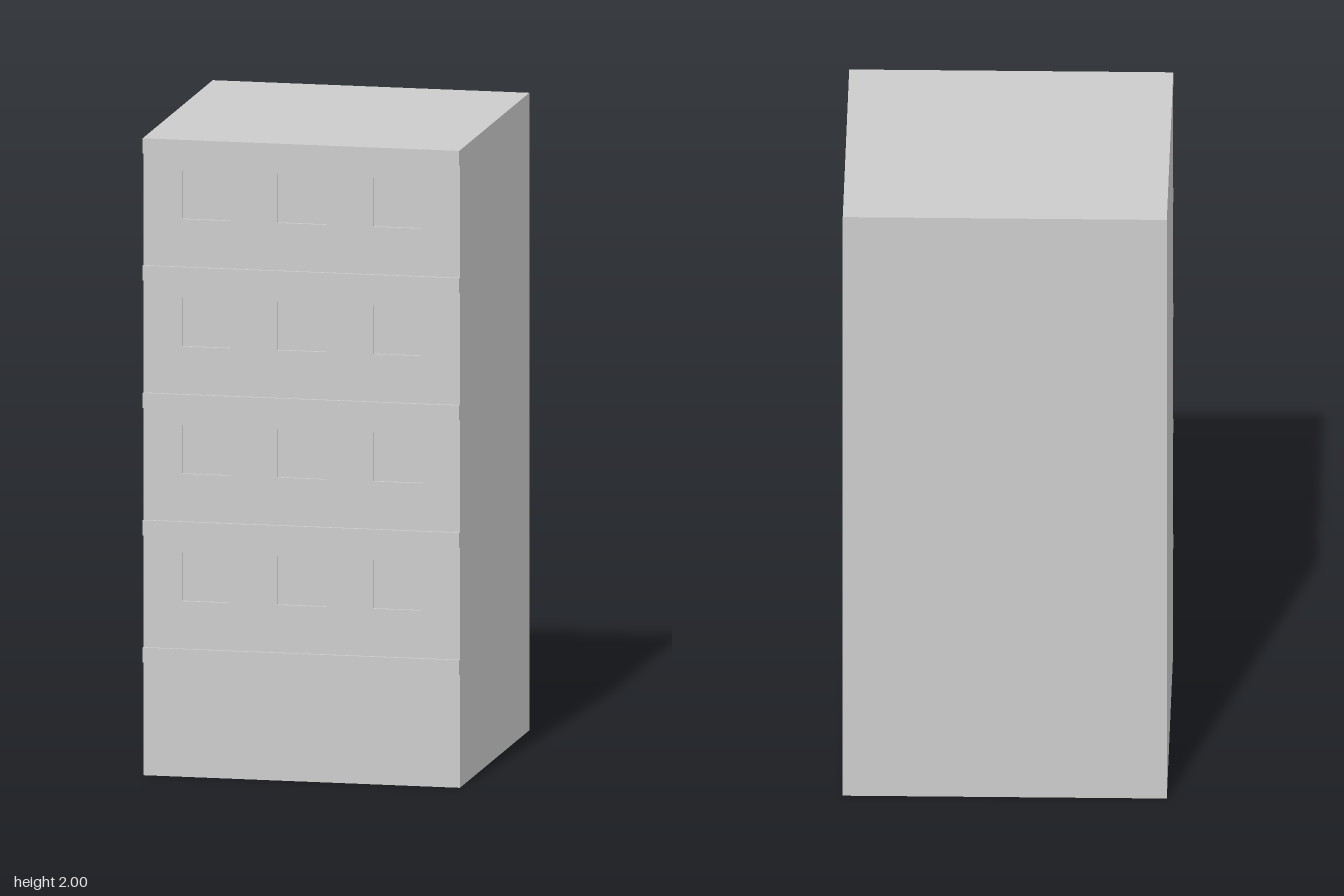
import * as THREE from 'three';

const W = 1, H = 2, BACK = -0.505, WALL = 0.495, LEDGE = 0.505, PANE = 0.485;
const BAND = 0.047, GROUND = 0.402, PITCH = (H - GROUND) / 4;
const WIN = 0.153, WIN_X = [-0.302, 0, 0.302], WIN_ABOVE_BAND = 0.149;

const material = new THREE.MeshStandardMaterial({
  color: 0xcccccc, flatShading: true, side: THREE.DoubleSide,
});

function add(parent, name, geometry, x = 0, y = 0, z = 0, rx = 0, ry = 0) {
  const mesh = new THREE.Mesh(geometry, material);
  mesh.name = name;
  mesh.position.set(x, y, z);
  mesh.rotation.set(rx, ry, 0);
  parent.add(mesh);
  return mesh;
}

// Rectangle outline, counter-clockwise
function rect(PathType, x0, y0, x1, y1) {
  return new PathType([[x0, y0], [x1, y0], [x1, y1], [x0, y1]]
    .map(([x, y]) => new THREE.Vector2(x, y)));
}

// Shallow pocket: pane plus four reveals
function recessedWindow(x, y) {
  const group = new THREE.Group();
  group.name = 'window';
  group.position.set(x, y, 0);
  const depth = WALL - PANE, mid = (WALL + PANE) / 2, h = WIN / 2;
  add(group, 'windowPane', new THREE.PlaneGeometry(WIN, WIN), 0, 0, PANE);
  for (const s of [-1, 1]) {
    add(group, 'windowJamb', new THREE.PlaneGeometry(depth, WIN), s * h, 0, mid, 0, -s * Math.PI / 2);
    add(group, 'windowSill', new THREE.PlaneGeometry(WIN, depth), 0, s * h, mid, s * Math.PI / 2);
  }
  return group;
}

export function createModel() {
  const building = new THREE.Group();
  building.name = 'building';

  const profile = [new THREE.Vector2(BACK, 0), new THREE.Vector2(WALL, 0)];
  for (let floor = 0; floor < 5; floor++) {
    const top = GROUND + floor * PITCH, bottom = top - BAND;
    const base = floor ? top - PITCH : 0;

    // Facade panel, pierced by windows above the ground floor
    const panel = rect(THREE.Shape, -W / 2, base, W / 2, bottom);
    if (floor) {
      const y = base + WIN_ABOVE_BAND;
      for (const x of WIN_X) {
        panel.holes.push(rect(THREE.Path, x - WIN / 2, y, x + WIN / 2, y + WIN));
        building.add(recessedWindow(x, y + WIN / 2));
      }
    }
    add(building, 'facadePanel', new THREE.ShapeGeometry(panel), 0, 0, WALL);

    // Projecting band, hollow behind
    const out = LEDGE - WALL, mid = (LEDGE + WALL) / 2;
    add(building, 'bandFace', new THREE.PlaneGeometry(W, BAND), 0, top - BAND / 2, LEDGE);
    add(building, 'bandUnderside', new THREE.PlaneGeometry(W, out), 0, bottom, mid, Math.PI / 2);
    if (floor < 4) {
      add(building, 'bandTop', new THREE.PlaneGeometry(W, out), 0, top, mid, -Math.PI / 2);
    }
    profile.push(new THREE.Vector2(WALL, bottom), new THREE.Vector2(LEDGE, bottom),
      new THREE.Vector2(LEDGE, top));
    if (floor < 4) profile.push(new THREE.Vector2(WALL, top));
  }
  profile.push(new THREE.Vector2(BACK, H));

  // Side walls follow the stepped facade profile
  const outline = new THREE.Shape(profile);
  const left = new THREE.ShapeGeometry(outline).rotateY(-Math.PI / 2);
  const right = left.clone();
  const index = Array.from(left.index.array);
  left.setIndex(index.reverse());
  left.computeVertexNormals();
  add(building, 'leftWall', left, W / 2);
  add(building, 'rightWall', right, -W / 2);

  // Back wall and roof; the underside stays open
  add(building, 'backWall', new THREE.PlaneGeometry(W, H), 0, H / 2, BACK, 0, Math.PI);
  add(building, 'roof', new THREE.PlaneGeometry(W, LEDGE - BACK), 0, H, 0, -Math.PI / 2);
  return building;
}
